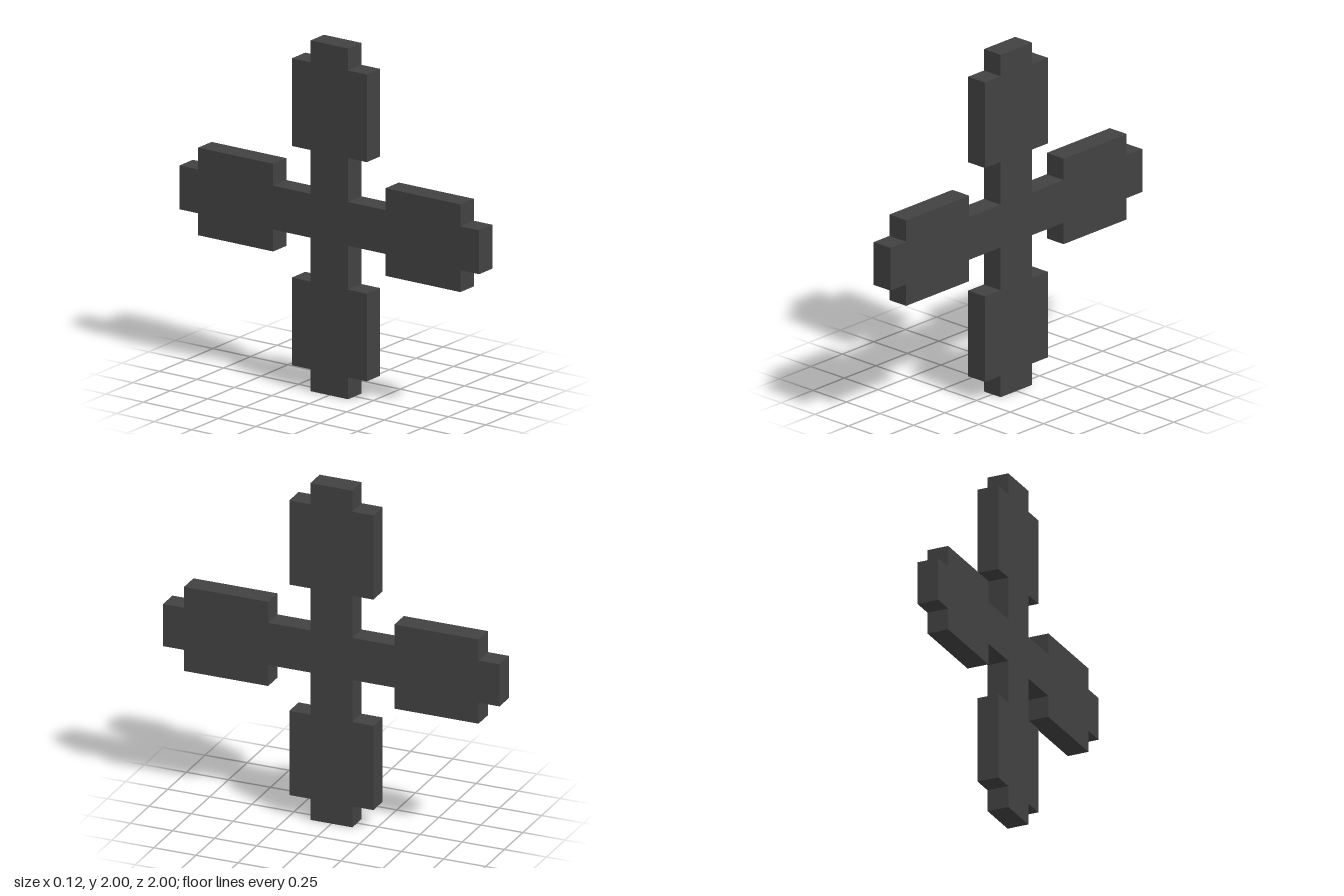
import * as THREE from 'three';

export function createModel() {
  const group = new THREE.Group();
  const charcoal = new THREE.MeshStandardMaterial({ color: 0x424242 });
  charcoal.name = 'charcoal';
  const thickness = 0.125;

  // One side of the upright arm, from the inner corner out to the tip
  const side = [
    [0.125, 0.125], [0.125, 0.375], [0.25, 0.375],
    [0.25, 0.875], [0.125, 0.875], [0.125, 1],
  ];
  // Mirror it for the other side; the next arm supplies the last inner corner
  const arm = [...side, ...side.slice(1).reverse().map(([x, y]) => [-x, y])];

  // Repeat the arm four times around the centre, counter-clockwise
  const outline = [];
  for (let i = 0; i < 4; i++) {
    for (const [x, y] of arm) {
      outline.push(new THREE.Vector2(x, y).rotateAround(new THREE.Vector2(), i * Math.PI / 2));
    }
  }

  // Flat four-bladed plate standing in the yz plane
  const geometry = new THREE.ExtrudeGeometry(new THREE.Shape(outline), {
    depth: thickness, bevelEnabled: false,
  });
  geometry.translate(0, 0, -thickness / 2);
  geometry.rotateY(Math.PI / 2);
  geometry.translate(0, 1, 0);

  const plate = new THREE.Mesh(geometry, charcoal);
  plate.name = 'fourBladedPlate';
  group.add(plate);
  return group;
}
